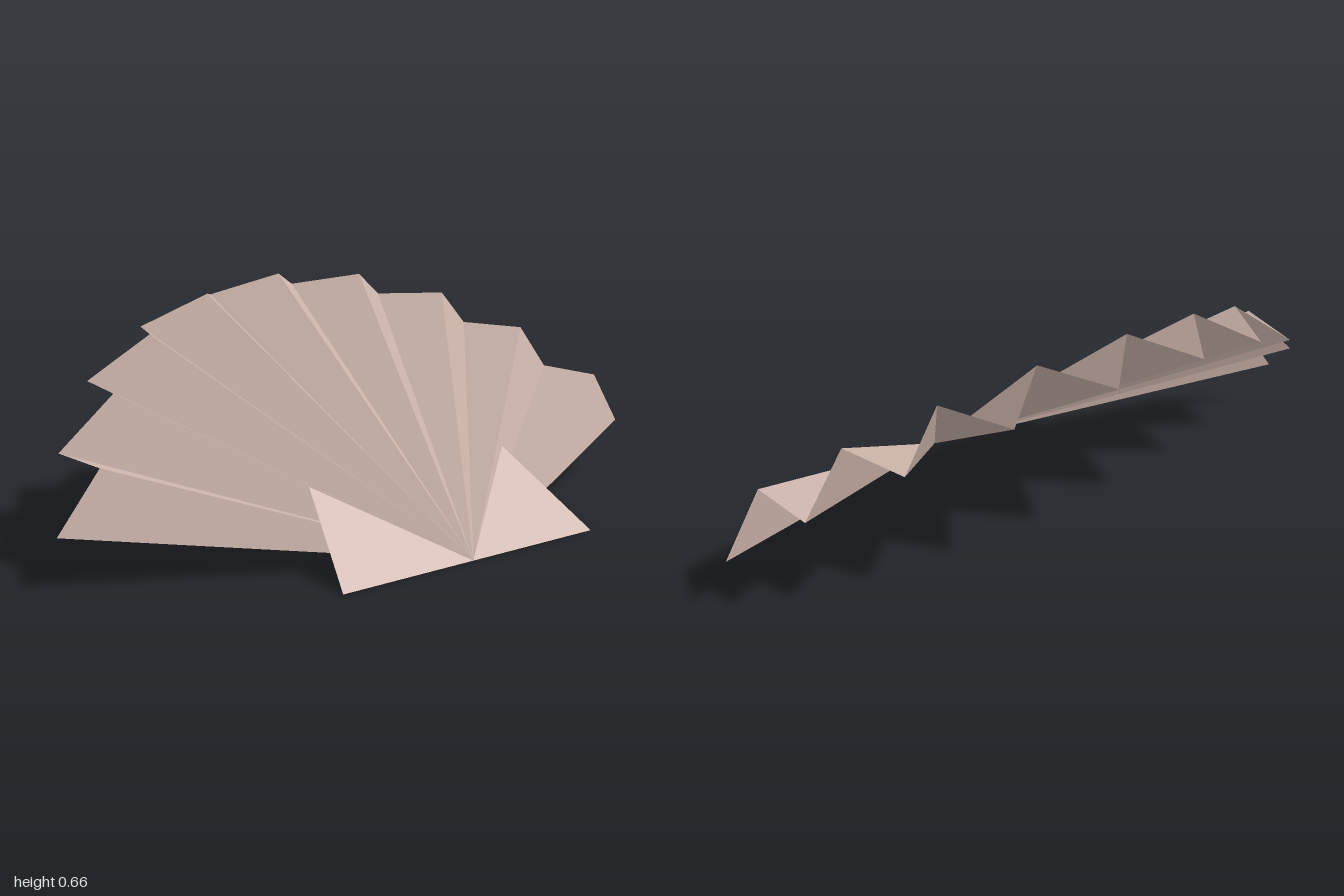
import * as THREE from 'three';

const APEX = [0, 0, 0.51];

// Flat triangles that all start at the apex, between consecutive rim points (left to right)
function apexFan(name, rim, material) {
  const corners = [];
  for (let i = 0; i < rim.length - 1; i++) corners.push(...APEX, ...rim[i + 1], ...rim[i]);
  const geometry = new THREE.BufferGeometry();
  geometry.setAttribute('position', new THREE.Float32BufferAttribute(corners, 3));
  geometry.computeVertexNormals();
  const mesh = new THREE.Mesh(geometry, material);
  mesh.name = name;
  return mesh;
}

const mirrorRim = (rim) => rim.map(([x, y, z]) => [-x, y, z]).reverse();

export function createModel() {
  const group = new THREE.Group();
  group.name = 'scallopShell';
  const shell = new THREE.MeshStandardMaterial({ color: 0xcdb5ab, side: THREE.DoubleSide });
  shell.name = 'shellPink';

  // Rim from the centre outward, alternating ridge and valley
  const half = [
    [0, 0.66, -0.37], [0.15, 0.594, -0.51],
    [0.275, 0.635, -0.335], [0.435, 0.542, -0.442],
    [0.527, 0.563, -0.243], [0.685, 0.44, -0.318],
    [0.73, 0.451, -0.103], [0.876, 0.303, -0.146],
    [0.88, 0.311, 0.073], [1, 0.145, 0.055],
  ];
  group.add(apexFan('pleatedFan', [...mirrorRim(half.slice(1)), ...half], shell));

  // Flat ears either side of the hinge
  const ear = [[0.345, 0.205, 0.24], [0.44, 0, 0.51]];
  group.add(apexFan('leftEar', ear, shell));
  group.add(apexFan('rightEar', mirrorRim(ear), shell));

  return group;
}
